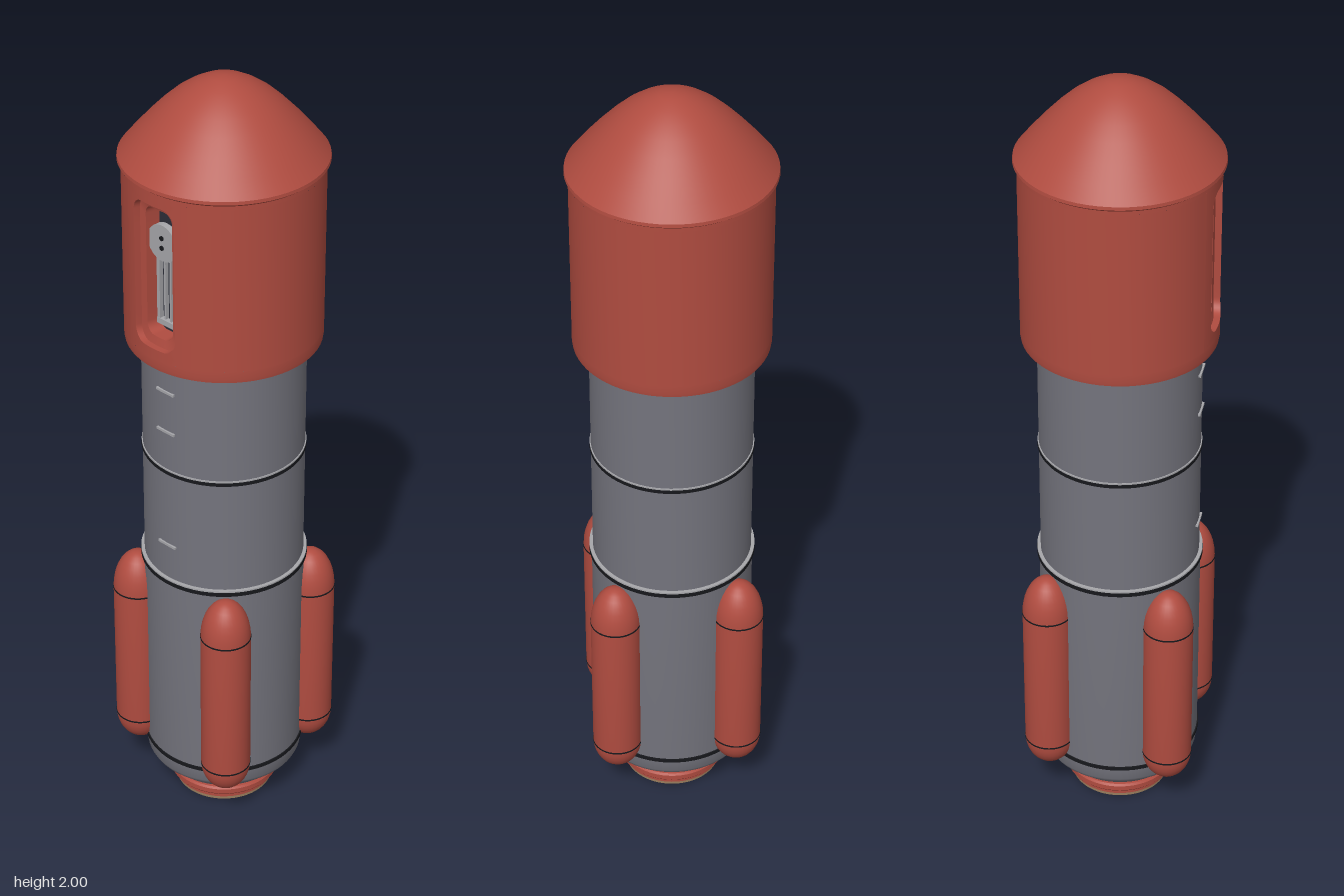
import * as THREE from 'three';
import { toCreasedNormals } from 'three/addons/utils/BufferGeometryUtils.js';

const SEG = 64;
const R = 0.236; // fairing radius

const material = (name, color) => {
  const m = new THREE.MeshStandardMaterial({ color });
  m.name = name;
  return m;
};

// Crease at a large scale so that tiny edges are not merged
const crease = (g) => {
  g.scale(100, 100, 100);
  const c = toCreasedNormals(g, 0.5);
  c.scale(0.01, 0.01, 0.01);
  return c;
};

// Profile runs bottom to top for an outward surface
const lathe = (pts, seg = SEG, start = 0, length = Math.PI * 2) =>
  crease(new THREE.LatheGeometry(pts.map(([r, y]) => new THREE.Vector2(r, y)), seg, start, length));

// Rounded rectangle as a counterclockwise loop with a constant point count
function roundedLoop(w, y0, y1, rad) {
  const pts = [], n = 8, m = 8;
  const corners = [[w - rad, y0 + rad, -0.5], [w - rad, y1 - rad, 0], [rad - w, y1 - rad, 0.5], [rad - w, y0 + rad, 1]];
  corners.forEach(([cx, cy, a], k) => {
    for (let i = 0; i <= n; i++) {
      const t = (a + (0.5 * i) / n) * Math.PI;
      pts.push([cx + rad * Math.cos(t), cy + rad * Math.sin(t)]);
    }
    const [px, py] = pts[pts.length - 1];
    const [nx, ny, na] = corners[(k + 1) % 4];
    const qx = nx + rad * Math.cos(na * Math.PI), qy = ny + rad * Math.sin(na * Math.PI);
    for (let i = 1; i < m; i++) pts.push([px + ((qx - px) * i) / m, py + ((qy - py) * i) / m]);
  });
  return pts;
}

// Skin between loops, each bent around the y axis at its own radius
function bentLoft(loops) {
  const pos = [], idx = [], n = loops[0].pts.length;
  for (const { pts, r } of loops)
    for (const [u, y] of pts) pos.push(r * Math.sin(u / R), y, r * Math.cos(u / R));
  for (let k = 0; k < loops.length - 1; k++)
    for (let i = 0; i < n; i++) {
      const a = k * n + i, b = k * n + ((i + 1) % n);
      idx.push(a, b, b + n, a, b + n, a + n);
    }
  const g = new THREE.BufferGeometry();
  g.setAttribute('position', new THREE.Float32BufferAttribute(pos, 3));
  g.setIndex(idx);
  g.computeVertexNormals();
  return g;
}

export function createModel() {
  const root = new THREE.Group();
  root.name = 'rocket';
  const red = material('red paint', 0xb04c40);
  const grey = material('hull grey', 0x74747d);
  const black = material('black seam', 0x17181c);
  const dark = material('dark interior', 0x2b2d38);
  const light = material('light metal', 0xa6a6aa);
  const tan = material('nozzle tan', 0x94795a);

  const add = (name, geometry, mat, parent = root) => {
    const m = new THREE.Mesh(geometry, mat);
    m.name = name;
    parent.add(m);
    return m;
  };
  const band = (name, r, y, h, mat, inner = r - 0.01, parent = root) =>
    add(name, lathe([[inner, y - h / 2], [r, y - h / 2], [r, y + h / 2], [inner, y + h / 2]]), mat, parent);

  // Hull: lower stage and slimmer upper stage
  add('lowerStage', lathe([[0, 0.072], [0.155, 0.072], [0.192, 0.108], [0.197, 0.118], [0.2, 0.16], [0.2, 0.712], [0.19, 0.712]]), grey);
  add('upperStage', lathe([[0.197, 0.7], [0.197, 1.36], [0, 1.36]]), grey);
  band('lowerSeam', 0.203, 0.157, 0.01, black);
  band('stageSeam', 0.206, 0.713, 0.011, black);
  band('stageRim', 0.2055, 0.7205, 0.004, light);
  band('upperSeam', 0.2, 1.03, 0.009, black);
  band('upperRim', 0.1995, 1.037, 0.004, light);
  for (const y of [0.82, 1.145, 1.255])
    add('hullMark', new THREE.BoxGeometry(0.056, 0.006, 0.008), light).position.set(0, y, 0.197);

  // Nose cone with overhanging lip
  add('noseCone', lathe([[0.2, 1.795], [0.236, 1.795], [0.245, 1.802], [0.244, 1.81], [0.215, 1.846], [0.183, 1.883],
    [0.15, 1.918], [0.12, 1.946], [0.09, 1.968], [0.06, 1.985], [0.03, 1.996], [0, 2]]), red);

  // Fairing shell, leaving a gap at the front for the window panel
  const gap = 0.4, y0 = 1.365, y1 = 1.785;
  add('fairingBase', lathe([[0.19, 1.332], [0.228, 1.332], [0.2345, 1.336], [R, 1.345], [R, y0]]), red);
  add('fairingTop', lathe([[R, y1], [R, 1.8]]), red);
  add('fairingShell', lathe([[R, y0], [R, y1]], 56, gap, Math.PI * 2 - gap * 2), red);
  const outer = roundedLoop(gap * R, y0, y1, 0);
  const rim = roundedLoop(0.064, 1.39, 1.762, 0.034);
  const opening = roundedLoop(0.046, 1.41, 1.743, 0.026);
  const panel = bentLoft([{ pts: outer, r: R }, { pts: rim, r: R }]);
  const p = panel.attributes.position;
  for (let i = 0; i < p.count; i++) panel.attributes.normal.setXYZ(i, p.getX(i) / R, 0, p.getZ(i) / R);
  add('windowPanel', panel, red);
  add('windowFrame', crease(bentLoft([{ pts: rim, r: R }, { pts: rim, r: 0.22 }, { pts: opening, r: 0.215 }, { pts: opening, r: 0.17 }])), red);

  // Instrument inside the window
  const instrument = new THREE.Group();
  instrument.name = 'instrument';
  root.add(instrument);
  const box = (name, w, h, d, x, y, z, mat) =>
    add(name, new THREE.BoxGeometry(w, h, d), mat, instrument).position.set(x, y, z);
  box('windowBack', 0.13, 0.38, 0.01, 0, 1.576, 0.17, dark);
  for (const x of [-0.026, 0.026]) box('rail', 0.009, 0.175, 0.012, x, 1.52, 0.184, light);
  for (const x of [-0.009, 0.009]) box('innerRail', 0.005, 0.17, 0.01, x, 1.52, 0.181, light);
  box('railFoot', 0.061, 0.014, 0.014, 0, 1.436, 0.184, light);
  const dial = add('dial', new THREE.CylinderGeometry(0.046, 0.046, 0.016, 32), light, instrument);
  dial.rotation.x = Math.PI / 2;
  dial.position.set(0, 1.652, 0.194);
  for (const y of [1.64, 1.665]) {
    const dot = add('dialDot', new THREE.CylinderGeometry(0.006, 0.006, 0.004, 12), black, instrument);
    dot.rotation.x = Math.PI / 2;
    dot.position.set(0, y, 0.203);
  }

  // Four side boosters with domed ends
  const br = 0.062, profile = [];
  for (let i = 0; i <= 8; i++) {
    const a = (i / 8) * Math.PI / 2;
    profile.push([br * Math.sin(a), 0.205 - 0.077 * Math.cos(a)]);
  }
  for (let i = 0; i <= 8; i++) {
    const a = (i / 8) * Math.PI / 2;
    profile.push([br * Math.cos(a), 0.598 + 0.104 * Math.sin(a)]);
  }
  const boosterGeometry = lathe(profile, 32);
  for (const sx of [-1, 1])
    for (const sz of [-1, 1]) {
      const booster = new THREE.Group();
      booster.name = 'booster';
      booster.position.set(sx * 0.152, 0, sz * 0.152);
      add('boosterBody', boosterGeometry, red, booster);
      for (const y of [0.205, 0.598]) band('boosterSeam', br + 0.0007, y, 0.004, black, br - 0.004, booster);
      root.add(booster);
    }

  // Engine nozzle: neck, two red flanges and a hollow bell
  add('nozzleNeck', lathe([[0.11, 0.045], [0.108, 0.056], [0.12, 0.074]]), tan);
  add('nozzleFlange', lathe([[0.122, 0.024], [0.135, 0.025], [0.139, 0.03], [0.139, 0.043], [0.135, 0.048], [0.105, 0.05]]), red);
  add('nozzleUpperFlange', lathe([[0.105, 0.05], [0.118, 0.05], [0.118, 0.06], [0.105, 0.06]]), red);
  add('nozzleLip', lathe([[0.122, 0.008], [0.127, 0.01], [0.127, 0.026], [0.122, 0.026]]), red);
  add('nozzleBell', lathe([[0.04, 0.069], [0.08, 0.064], [0.105, 0.045], [0.118, 0], [0.124, 0], [0.122, 0.03]]), tan);
  return root;
}
